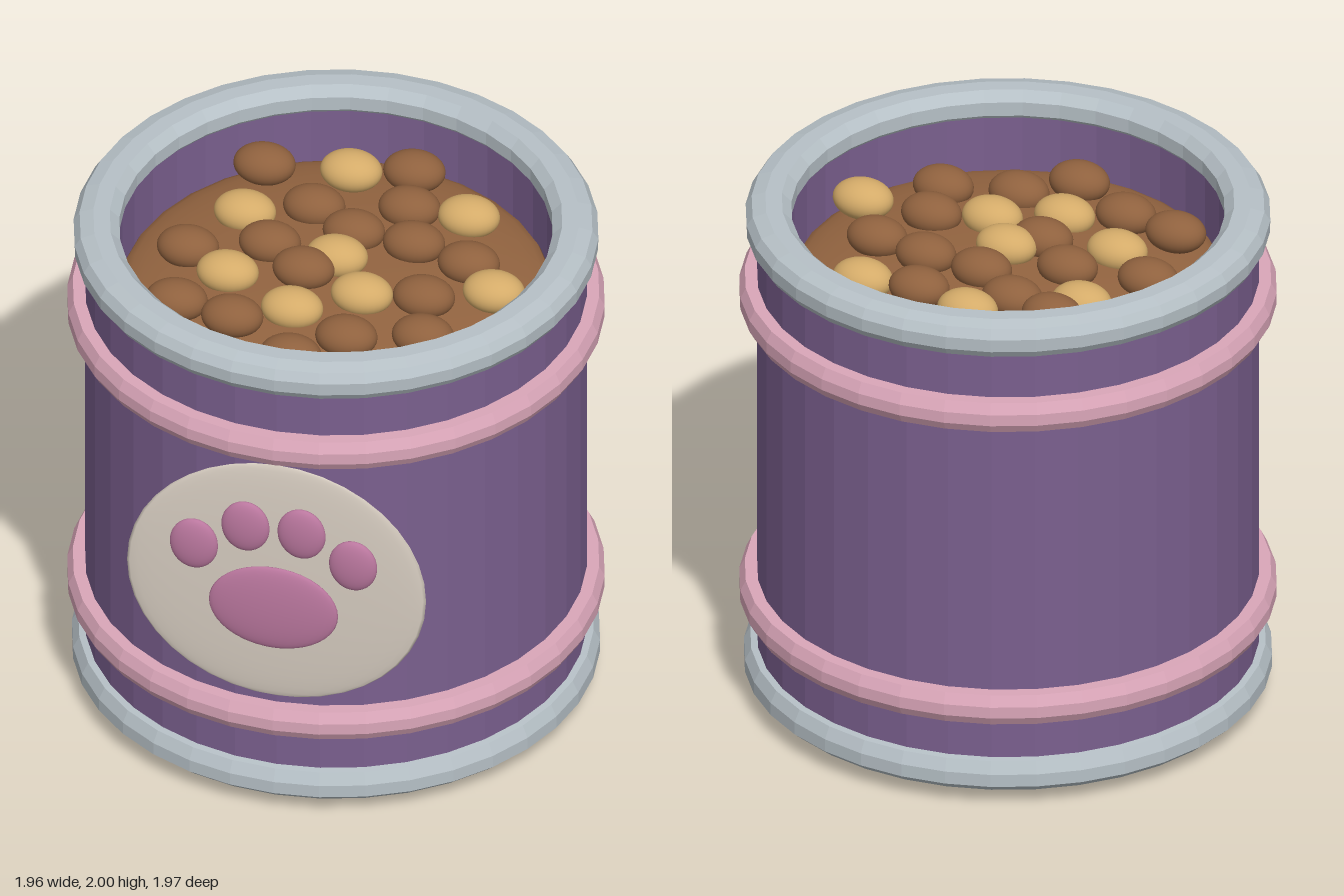
import * as THREE from 'three';

const mat = (name, color) => {
  const m = new THREE.MeshStandardMaterial({ color });
  m.name = name;
  return m;
};

export function createModel() {
  const purple = mat('purple', 0x7a5f8e);
  const pink = mat('pink', 0xdaa6b9);
  const metal = mat('metal', 0xb6c0c6);
  const cream = mat('cream', 0xd6ccc0);
  const mauve = mat('mauve', 0xba779e);
  const bedBrown = mat('bedBrown', 0x936440);
  const kibbleBrown = mat('kibbleBrown', 0x8f613e);
  const kibbleTan = mat('kibbleTan', 0xd4ab69);

  const root = new THREE.Group();
  root.name = 'foodCanister';
  const tub = new THREE.Group();
  tub.name = 'tub';
  tub.position.z = -0.007;
  root.add(tub);

  // Faceted ring or vessel turned from a profile of [radius, height]
  const turned = (name, profile, material, y = 0) => {
    const pts = profile.map(([r, h]) => new THREE.Vector2(r, h));
    const geo = new THREE.LatheGeometry(pts, 36).toNonIndexed();
    geo.computeVertexNormals();
    const mesh = new THREE.Mesh(geo, material);
    mesh.name = name;
    mesh.position.y = y;
    tub.add(mesh);
  };

  // Smooth squashed ball
  const ball = new THREE.SphereGeometry(1, 32, 20);
  const blob = (parent, name, material, pos, size) => {
    const mesh = new THREE.Mesh(ball, material);
    mesh.name = name;
    mesh.position.set(...pos);
    mesh.scale.set(...size);
    parent.add(mesh);
  };

  // Hollow body with inner wall
  turned('body', [[0, 0.06], [0.915, 0.06], [0.915, 1.95], [0.8, 1.95], [0.8, 1.55], [0, 1.55]], purple);

  // Metal rims, top and bottom
  turned('topRim', [[0.82, 1.87], [0.935, 1.87], [0.955, 1.9], [0.957, 1.95], [0.935, 1.985], [0.885, 2],
    [0.825, 2], [0.79, 1.965], [0.79, 1.91], [0.82, 1.87]], metal);
  turned('bottomRim', [[0.86, 0.06], [0.93, 0.06], [0.963, 0.09], [0.963, 0.14], [0.94, 0.185], [0.9, 0.19]], metal);
  blob(tub, 'baseDish', metal, [0, 0.06, 0], [0.87, 0.06, 0.87]);

  // Pink hoops
  for (const [name, y] of [['upperHoop', 1.63], ['lowerHoop', 0.41]]) {
    turned(name, [[0.9, -0.06], [0.96, -0.06], [0.98, -0.025], [0.98, 0.02], [0.96, 0.06], [0.9, 0.06]], pink, y);
  }

  // Food: domed bed with kibbles [x, z, height]
  blob(tub, 'foodBed', bedBrown, [0, 1.67, 0], [0.79, 0.115, 0.79]);
  const brown = [[0.14, -0.64, 1.785], [-0.38, -0.47, 1.85], [0.18, -0.4, 1.8], [-0.16, -0.33, 1.8],
    [0.02, -0.2, 1.81], [0.25, -0.18, 1.81], [0.47, -0.12, 1.8], [-0.26, -0.06, 1.81], [-0.55, 0.01, 1.79],
    [-0.1, 0.08, 1.82], [0.36, 0.12, 1.8], [-0.51, 0.35, 1.8], [-0.29, 0.4, 1.8], [0.41, 0.34, 1.79],
    [0.14, 0.41, 1.79], [-0.03, 0.57, 1.79]];
  const tan = [[-0.07, -0.53, 1.83], [0.4, -0.41, 1.79], [-0.4, -0.25, 1.79], [0, -0.02, 1.82],
    [-0.37, 0.14, 1.8], [0.14, 0.17, 1.81], [0.61, 0.07, 1.83], [-0.09, 0.3, 1.8]];
  for (const [list, material] of [[brown, kibbleBrown], [tan, kibbleTan]]) {
    for (const [x, z, y] of list) blob(root, 'kibble', material, [x, y, z], [0.115, 0.075, 0.09]);
  }

  // Front badge with paw print
  blob(root, 'badge', cream, [0, 1.02, 0.91], [0.56, 0.52, 0.028]);
  blob(root, 'pawPad', mauve, [0, 0.93, 0.957], [0.242, 0.18, 0.03]);
  for (const side of [-1, 1]) {
    blob(root, 'innerToe', mauve, [side * 0.105, 1.28, 0.957], [0.09, 0.108, 0.03]);
    blob(root, 'outerToe', mauve, [side * 0.298, 1.17, 0.957], [0.09, 0.108, 0.03]);
  }
  return root;
}
